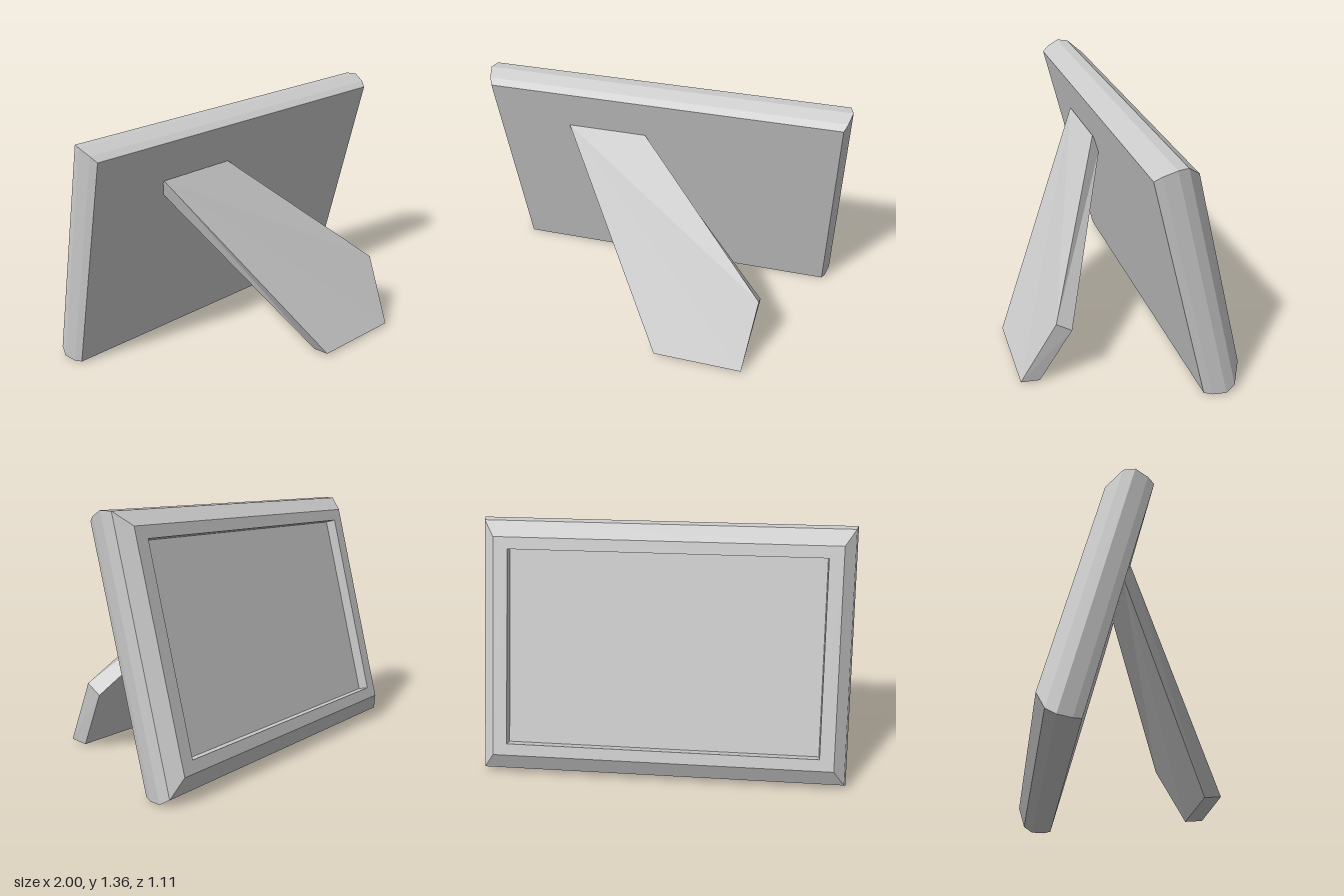
import * as THREE from 'three';

const material = new THREE.MeshStandardMaterial({ color: 0xcccccc, flatShading: true });

// Skins a series of matching rings (counter-clockwise seen from the first ring's outer side).
function loft(name, rings, capStart, capEnd) {
  const pos = [];
  const tri = (a, b, c) => pos.push(...a, ...b, ...c);
  const n = rings[0].length;
  for (let r = 0; r < rings.length - 1; r++) {
    const a = rings[r], b = rings[r + 1];
    for (let i = 0; i < n; i++) {
      const j = (i + 1) % n;
      tri(a[i], b[i], b[j]);
      tri(a[i], b[j], a[j]);
    }
  }
  const first = rings[0], last = rings[rings.length - 1];
  for (let i = 1; i < n - 1; i++) {
    if (capStart) tri(first[0], first[i], first[i + 1]);
    if (capEnd) tri(last[0], last[i + 1], last[i]);
  }
  const geometry = new THREE.BufferGeometry();
  geometry.setAttribute('position', new THREE.Float32BufferAttribute(pos, 3));
  geometry.computeVertexNormals();
  const mesh = new THREE.Mesh(geometry, material);
  mesh.name = name;
  return mesh;
}

const rectangle = ([w, h, depth]) => [[-w, -h, -depth], [w, -h, -depth], [w, h, -depth], [-w, h, -depth]];

export function createModel() {
  const model = new THREE.Group();
  model.name = 'pictureFrame';

  // Leaning frame: half width, half height and depth from the back panel
  // through the rounded rim to the front bevel and the recess wall.
  const frame = new THREE.Group();
  frame.name = 'leaningFrame';
  const floor = [0.845, 0.53, 0.173];
  const sections = [
    [0.965, 0.669, 0],
    [0.983, 0.686, 0.04],
    [1.0, 0.698, 0.112],
    [0.985, 0.681, 0.169],
    [0.922, 0.594, 0.232],
    [0.845, 0.53, 0.232],
    floor,
  ];
  frame.add(loft('frameBody', sections.map(rectangle), true, false));

  // Picture panel at the bottom of the recess
  frame.add(loft('picturePanel', [rectangle(floor)], false, true));
  frame.position.set(0, 0.6575, -0.1825);
  frame.rotation.x = 0.253;
  model.add(frame);

  // Slanted easel leg: outer face, then inner face
  const outer = [
    [-0.54, 1.08, -0.068], [0.105, 0.022, 0.545], [0.61, 0.022, 0.555],
    [0.655, 0.39, 0.365], [-0.1, 1.08, -0.068],
  ];
  const inner = [
    [-0.54, 1.01, -0.11], [0.1, 0.012, 0.45], [0.61, 0.012, 0.45],
    [0.655, 0.335, 0.28], [-0.1, 1.0, -0.11],
  ];
  model.add(loft('easelLeg', [outer, inner], true, true));

  return model;
}
